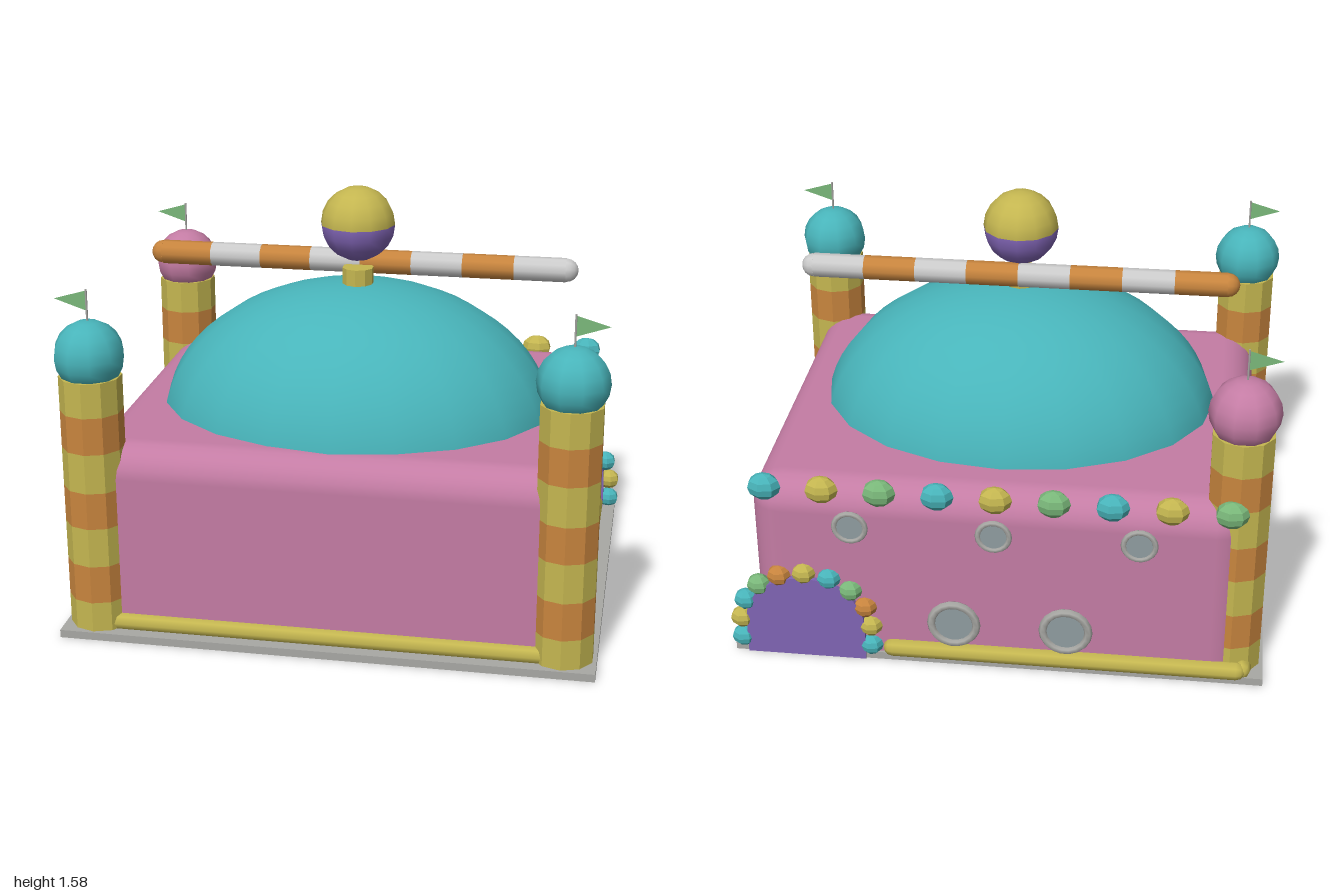
import * as THREE from 'three';
import { RoundedBoxGeometry } from 'three/addons/geometries/RoundedBoxGeometry.js';

const paint = (color, flat = false) =>
  new THREE.MeshStandardMaterial({ color, flatShading: flat, side: THREE.DoubleSide });
const COLORS = {
  teal: 0x48b4ba, pink: 0xc47ca4, yellow: 0xc4b650, orange: 0xc8853e,
  purple: 0x8064b4, green: 0x7ab87a, grey: 0xcccccc, stone: 0xa8a8a4, glass: 0x8f9ca0,
};
const smooth = {}, flat = {};
for (const k in COLORS) {
  smooth[k] = paint(COLORS[k]);
  flat[k] = paint(COLORS[k], true);
}

function add(parent, name, geometry, material, x = 0, y = 0, z = 0) {
  const mesh = new THREE.Mesh(geometry, material);
  mesh.name = name;
  mesh.position.set(x, y, z);
  parent.add(mesh);
  return mesh;
}

// Striped tower with a ball roof, a flagpole and a flag pointing along dir
function tower(x, z, ball, dir) {
  const g = new THREE.Group();
  g.name = 'tower';
  g.position.set(x, 0, z);
  const levels = [0.03, 0.145, 0.29, 0.44, 0.58, 0.73, 0.87, 1.0];
  for (let i = 0; i < 7; i++) {
    const h = levels[i + 1] - levels[i];
    add(g, 'towerBand', new THREE.CylinderGeometry(0.115, 0.115, h, 10),
      i % 2 ? flat.orange : flat.yellow, 0, levels[i] + h / 2, 0);
  }
  add(g, 'towerBall', new THREE.SphereGeometry(0.13, 10, 10), smooth[ball], 0, 1.075, 0);
  add(g, 'flagPole', new THREE.CylinderGeometry(0.004, 0.004, 0.14, 6), smooth.stone, 0, 1.25, 0);
  const flag = new THREE.Shape([[0, 1.24], [dir * 0.12, 1.28], [0, 1.315]].map(p => new THREE.Vector2(...p)));
  add(g, 'flag', new THREE.ShapeGeometry(flag), smooth.green);
  return g;
}

// Round window with a raised rim, facing the back
function porthole(x, y, r) {
  const g = new THREE.Group();
  g.name = 'porthole';
  g.position.set(x, y, -0.765);
  add(g, 'windowRim', new THREE.TorusGeometry(r * 0.84, r * 0.16, 6, 18), smooth.stone, 0, 0, -0.012);
  const pane = add(g, 'windowPane', new THREE.CylinderGeometry(r * 0.84, r * 0.84, 0.03, 18), smooth.glass);
  pane.rotation.x = Math.PI / 2;
  return g;
}

function bead(parent, x, y, color, rx, ry, rz) {
  add(parent, 'bead', new THREE.SphereGeometry(1, 7, 6), flat[color], x, y, -0.765).scale.set(rx, ry, rz);
}

export function createModel() {
  const model = new THREE.Group();
  model.name = 'palace';

  // Ground slab
  add(model, 'base', new THREE.BoxGeometry(1.98, 0.03, 1.58), smooth.stone, -0.01, 0.015, 0.015);

  // Hall with rounded top and corners, cut flat at the floor
  const hall = new RoundedBoxGeometry(1.82, 1.4, 1.5, 3, 0.12);
  hall.translate(-0.01, 0.04, -0.015);
  const p = hall.attributes.position;
  for (let i = 0; i < p.count; i++) p.setY(i, Math.max(p.getY(i), 0.02));
  add(model, 'hall', hall, smooth.pink);

  // Skirting rails along the walls, the back one stopping at the door
  const rail = (x0, z0, x1, z1) => {
    const len = Math.hypot(x1 - x0, z1 - z0);
    const geo = new THREE.CapsuleGeometry(0.035, len, 3, 8);
    geo.rotateZ(Math.PI / 2);
    const m = add(model, 'skirtingRail', geo, smooth.yellow, (x0 + x1) / 2, 0.053, (z0 + z1) / 2);
    m.rotation.y = Math.atan2(-(z1 - z0), x1 - x0);
  };
  rail(-0.92, 0.73, 0.9, 0.73);
  rail(-0.92, 0.73, -0.92, -0.75);
  rail(0.895, 0.73, 0.895, -0.72);
  rail(-0.9, -0.765, 0.38, -0.765);

  // Dome, upper part of an ellipsoid
  const dome = add(model, 'dome', new THREE.SphereGeometry(1, 20, 16, 0, Math.PI * 2, 0, Math.PI / 2),
    smooth.teal, -0.01, 0.64, 0.033);
  dome.scale.set(0.77, 0.57, 0.617);

  // Collar and two-tone ball above the dome
  add(model, 'collar', new THREE.CylinderGeometry(0.06, 0.06, 0.14, 10), flat.yellow, -0.01, 1.2, 0.04);
  const half = start => new THREE.SphereGeometry(0.142, 12, 5, 0, Math.PI * 2, start, Math.PI / 2);
  add(model, 'ballTop', half(0), smooth.yellow, -0.01, 1.44, 0.04);
  add(model, 'ballBottom', half(Math.PI / 2), smooth.purple, -0.01, 1.44, 0.04);

  // Striped rod with rounded ends
  const rod = new THREE.Group();
  rod.name = 'stripedRod';
  rod.position.set(-0.01, 1.274, -0.035);
  const step = 0.196;
  for (let i = 0; i < 8; i++) {
    const band = add(rod, 'rodBand', new THREE.CylinderGeometry(0.046, 0.046, step, 10),
      i % 2 ? smooth.grey : smooth.orange, (i - 3.5) * step, 0, 0);
    band.rotation.z = Math.PI / 2;
  }
  for (const s of [-1, 1]) {
    const cap = add(rod, 'rodEnd', new THREE.SphereGeometry(0.046, 10, 4, 0, Math.PI * 2, 0, Math.PI / 2),
      s > 0 ? smooth.grey : smooth.orange, s * 4 * step, 0, 0);
    cap.rotation.z = -s * Math.PI / 2;
  }
  model.add(rod);

  // Three corner towers
  model.add(tower(-0.875, 0.68, 'teal', -1), tower(0.855, 0.68, 'teal', 1), tower(-0.875, -0.645, 'pink', -1));

  // Bead garland along the back roof edge
  const garland = new THREE.Group();
  garland.name = 'roofGarland';
  for (let i = 0; i < 9; i++)
    bead(garland, -0.85 + i * 0.21, 0.727, ['green', 'yellow', 'teal'][i % 3], 0.062, 0.052, 0.043);
  model.add(garland);

  // Arched door on the back
  const arch = new THREE.Shape();
  arch.moveTo(-0.225, 0);
  arch.lineTo(0.225, 0);
  arch.lineTo(0.225, 0.145);
  arch.absellipse(0, 0.145, 0.225, 0.2, 0, Math.PI, false, 0);
  add(model, 'door', new THREE.ExtrudeGeometry(arch, { depth: 0.06, bevelEnabled: false, curveSegments: 8 }),
    smooth.purple, 0.705, 0.002, -0.785);

  // Beads around the door
  const doorBeads = new THREE.Group();
  doorBeads.name = 'doorBeads';
  const arc = ['yellow', 'teal', 'green', 'orange'];
  for (let i = 0; i <= 8; i++) {
    const a = (i / 8) * Math.PI;
    bead(doorBeads, 0.705 + 0.245 * Math.cos(a), 0.145 + 0.215 * Math.sin(a), arc[i % 4], 0.045, 0.041, 0.038);
  }
  for (const s of [-1, 1]) bead(doorBeads, 0.705 + s * 0.245, 0.06, 'teal', 0.045, 0.041, 0.038);
  model.add(doorBeads);

  // Round windows on the back
  for (const x of [0.52, -0.005, -0.53]) model.add(porthole(x, 0.58, 0.068));
  for (const x of [0.145, -0.27]) model.add(porthole(x, 0.185, 0.1));

  return model;
}
